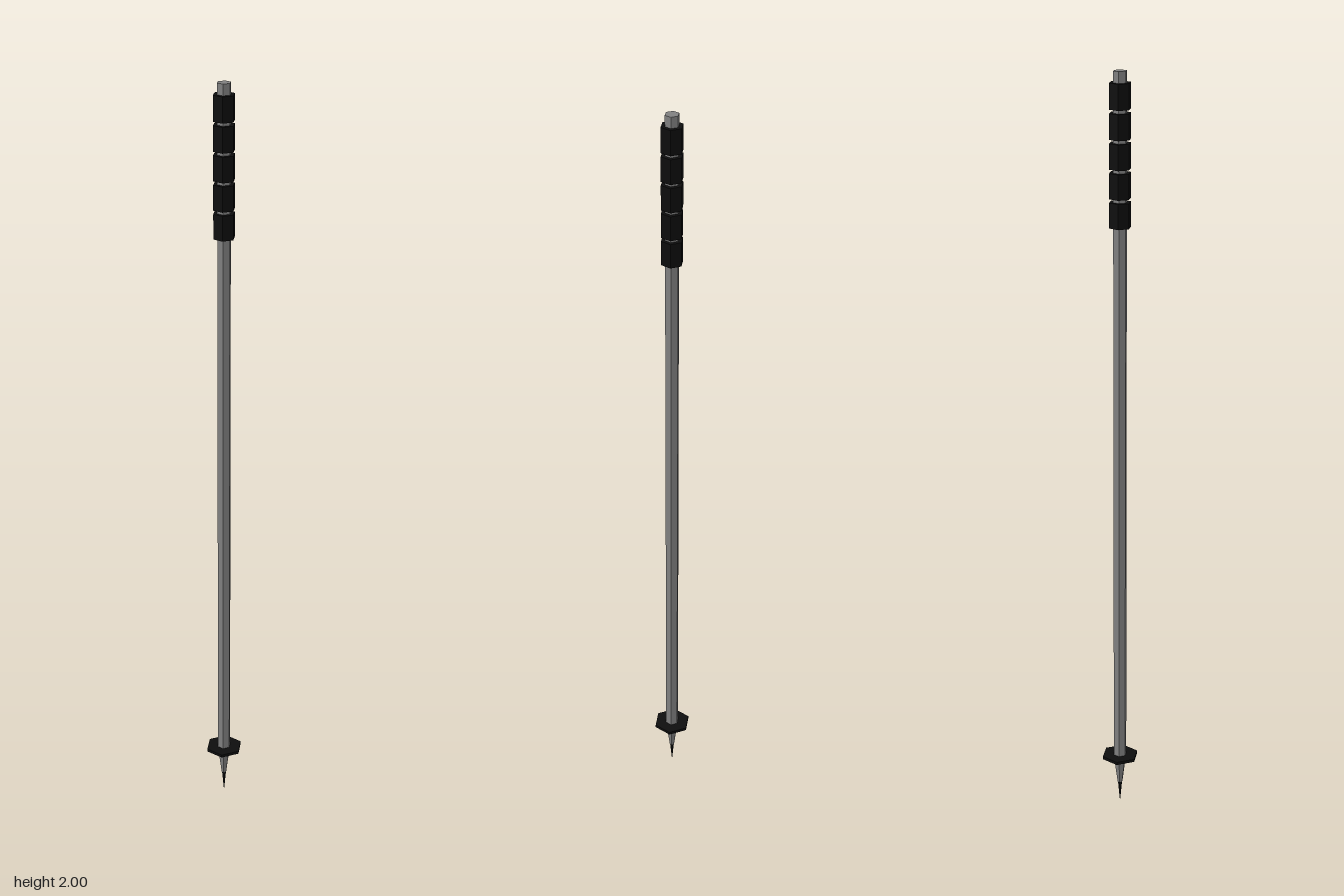
import * as THREE from 'three';

export function createModel() {
  const group = new THREE.Group();
  const metal = new THREE.MeshStandardMaterial({ color: 0x808080, flatShading: true });
  metal.name = 'grey metal';
  const rubber = new THREE.MeshStandardMaterial({ color: 0x0d0d0d, flatShading: true });
  rubber.name = 'black rubber';

  // Six-sided section between two heights, with a corner facing the front
  function section(name, rTop, rBottom, y0, y1, material) {
    const mesh = new THREE.Mesh(new THREE.CylinderGeometry(rTop, rBottom, y1 - y0, 6), material);
    mesh.name = name;
    mesh.position.y = (y0 + y1) / 2;
    group.add(mesh);
  }

  // Shaft, narrowing to the tip below the basket
  section('shaft', 0.018, 0.018, 0.137, 2, metal);
  section('taperedEnd', 0.018, 0.007, 0.055, 0.137, metal);
  section('spike', 0.006, 0.0008, 0, 0.055, rubber);

  // Basket plate
  section('basket', 0.05, 0.05, 0.133, 0.141, rubber);

  // Grip rings with narrow gaps
  for (let i = 0; i < 5; i++) {
    const y = 1.615 + i * 0.0732;
    section('gripRing' + (i + 1), 0.0285, 0.0285, y, y + 0.064, rubber);
  }

  return group;
}
